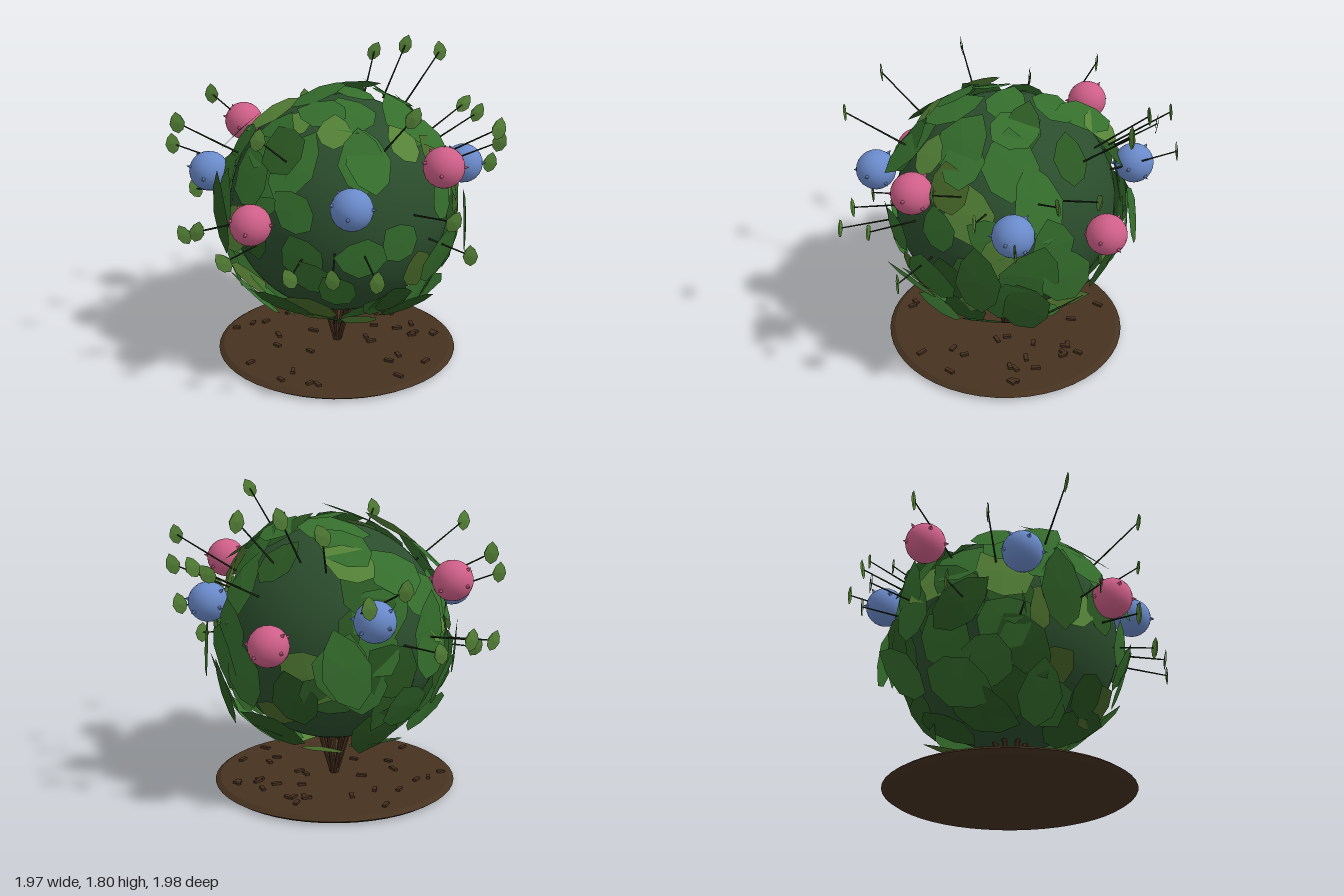
import * as THREE from 'three';

const mat = (name, color, extra = {}) => new THREE.MeshStandardMaterial({ name, color, ...extra });
const leafy = { side: THREE.DoubleSide, flatShading: true };
const M = {
  core: mat('core green', 0x2b4d2d),
  dark: mat('dark leaf', 0x2a5722, leafy),
  mid: mat('mid leaf', 0x356e2d, leafy),
  light: mat('light leaf', 0x568438, leafy),
  olive: mat('olive leaf', 0x486829, leafy),
  stem: mat('stem', 0x1f2d1a),
  pink: mat('pink bloom', 0xcf5f88),
  blue: mat('blue bloom', 0x6a8aca),
  soil: mat('soil', 0x463220),
  bark: mat('bark', 0x452e1e, { flatShading: true }),
};

// small seeded generator
let seed = 11;
const rnd = () => {
  seed = (seed * 16807) % 2147483647;
  return seed / 2147483647;
};
const range = (a, b) => a + (b - a) * rnd();
const V = (x, y, z) => new THREE.Vector3(x, y, z);
const UP = V(0, 1, 0);
const CENTER = V(0.03, 0.95, 0);

function add(parent, name, geometry, material) {
  const mesh = new THREE.Mesh(geometry, material);
  mesh.name = name;
  parent.add(mesh);
  return mesh;
}

// thin rod between two points
function rod(parent, name, a, b, r0, r1, material, sides = 6) {
  const dir = b.clone().sub(a);
  const mesh = add(parent, name, new THREE.CylinderGeometry(r1, r0, dir.length(), sides), material);
  mesh.position.copy(a).addScaledVector(dir, 0.5);
  mesh.quaternion.setFromUnitVectors(UP, dir.normalize());
}

// faceted leaf in the xy plane, pointed at +y, cupped backwards by "bend"
function leafGeometry(length, width, bend) {
  const outline = [[0, -0.5], [0.34, -0.34], [0.5, -0.04], [0.32, 0.28], [0, 0.5],
    [-0.32, 0.28], [-0.5, -0.04], [-0.34, -0.34]];
  const pos = [0, 0, 0];
  for (const [x, y] of outline) {
    pos.push(x * width, y * length, -bend * ((x * width) ** 2 + (y * length) ** 2));
  }
  const index = [];
  for (let i = 0; i < 8; i++) index.push(0, 1 + i, 1 + ((i + 1) % 8));
  const g = new THREE.BufferGeometry();
  g.setAttribute('position', new THREE.Float32BufferAttribute(pos, 3));
  g.setIndex(index);
  g.computeVertexNormals();
  return g;
}

// round bed with a bevelled rim and loose bark chips
function buildBed(root) {
  const bed = new THREE.Group();
  bed.name = 'bed';
  const rim = [[0, 0.005], [0.7, 0.005], [0.73, 0.025], [0.7, 0.045], [0, 0.045]];
  const g = new THREE.LatheGeometry(rim.map(([x, y]) => new THREE.Vector2(x, y)), 48).toNonIndexed();
  g.computeVertexNormals();
  add(bed, 'soilDisc', g, M.soil).position.x = 0.017;
  for (let i = 0; i < 34; i++) {
    const a = rnd() * Math.PI * 2;
    const r = 0.68 * Math.sqrt(range(0.05, 1));
    const chip = add(bed, 'barkChip', new THREE.BoxGeometry(range(0.045, 0.06), 0.018, 0.024), M.bark);
    chip.position.set(0.02 + r * Math.cos(a), 0.05, r * Math.sin(a));
    chip.rotation.y = rnd() * Math.PI;
  }
  root.add(bed);
}

// spreading trunk
function buildTrunk(root) {
  for (let i = 0; i < 7; i++) {
    const a = (i / 7) * Math.PI * 2;
    rod(root, 'trunkStem', V(0.02 + 0.012 * Math.cos(a), 0.04, 0.012 * Math.sin(a)),
      V(0.02 + 0.12 * Math.cos(a), 0.42, 0.12 * Math.sin(a)), 0.013, 0.016, M.bark);
  }
}

// one leaf plate lying on the ball in direction n
function plate(parent, n, length, width, roll, lean, lift, color) {
  const leaf = add(parent, 'leafPlate', leafGeometry(length, width, 0.25), M[color]);
  const pole = Math.abs(n.y) > 0.8 ? V(0, 0, -1) : UP;
  const side = pole.clone().cross(n).normalize();
  leaf.quaternion.setFromRotationMatrix(new THREE.Matrix4().makeBasis(side, n.clone().cross(side), n));
  leaf.rotateZ(roll);
  leaf.rotateX(lean);
  leaf.position.copy(CENTER).addScaledVector(n, lift);
}

// placed plates: two coordinates across the facing side, length, width, roll, colour
const FRONT = [
  [-0.2, 0.48, 0.36, 0.3, 1.3, 'olive'], [0.25, 0.47, 0.36, 0.28, 1.2, 'mid'], [0.42, 0.73, 0.28, 0.22, 0.3, 'olive'],
  [0.55, 0.56, 0.36, 0.26, 0, 'dark'], [0.08, 0.86, 0.32, 0.25, 1.4, 'mid'], [-0.25, 0.85, 0.3, 0.26, 0.4, 'mid'],
  [0.3, 0.93, 0.28, 0.24, 0.8, 'mid'], [0.13, 1.38, 0.44, 0.26, 0, 'mid'], [-0.27, 1.35, 0.44, 0.27, -0.3, 'mid'],
  [0.33, 1.42, 0.26, 0.2, 0.2, 'light'], [-0.43, 1.2, 0.32, 0.24, 0.2, 'mid'], [-0.04, 1.5, 0.22, 0.2, 0, 'light'],
  [0.58, 1.1, 0.28, 0.22, 0.3, 'mid'], [-0.42, 0.4, 0.42, 0.24, 0.8, 'mid'], [-0.28, 1.12, 0.3, 0.22, 0.9, 'mid'],
  [0.62, 0.8, 0.34, 0.24, 0.2, 'dark'], [-0.5, 0.95, 0.32, 0.22, 0.3, 'dark'], [-0.05, 0.66, 0.26, 0.22, 0.6, 'mid'],
];
const RIGHT = [
  [0.25, 1.45, 0.36, 0.26, 0.3, 'mid'], [0.24, 1.22, 0.36, 0.3, 0.2, 'light'], [0.06, 1.0, 0.32, 0.26, 0, 'light'],
  [0.2, 0.8, 0.4, 0.35, 0.5, 'mid'], [0.44, 0.78, 0.42, 0.34, 0, 'mid'], [0.48, 0.5, 0.38, 0.28, 0.6, 'dark'],
  [0.3, 0.62, 0.28, 0.22, 1.3, 'light'], [0, 0.68, 0.4, 0.32, 0.2, 'mid'], [-0.1, 0.86, 0.46, 0.36, -0.3, 'mid'],
  [-0.3, 0.82, 0.42, 0.32, 0.4, 'mid'], [-0.28, 0.48, 0.42, 0.34, 1.0, 'dark'], [-0.15, 1.28, 0.46, 0.28, 0.1, 'mid'],
  [-0.32, 1.43, 0.32, 0.22, -0.4, 'dark'], [0, 1.46, 0.42, 0.32, 0, 'mid'], [-0.54, 0.72, 0.38, 0.28, 0.2, 'dark'],
  [-0.4, 0.6, 0.24, 0.2, 0.9, 'olive'], [0.12, 1.1, 0.3, 0.24, 1.1, 'mid'], [-0.22, 1.05, 0.36, 0.26, 0.2, 'mid'],
];
const TOP = [
  [0.1, -0.27, 0.42, 0.28, 1.3, 'mid'], [0.34, -0.04, 0.32, 0.28, 0.5, 'mid'], [0.1, 0, 0.3, 0.24, 1.2, 'mid'],
  [-0.36, 0.11, 0.36, 0.2, 1.5, 'light'], [0.36, 0.25, 0.38, 0.32, 0.8, 'mid'], [0.05, 0.3, 0.38, 0.32, 0.2, 'mid'],
  [0.52, 0.33, 0.3, 0.25, 0.4, 'olive'], [-0.32, 0.4, 0.38, 0.28, 0.7, 'dark'], [0.1, 0.55, 0.38, 0.28, 0, 'mid'],
  [-0.1, 0.28, 0.32, 0.24, 0.9, 'mid'], [-0.25, 0.27, 0.26, 0.2, 0.2, 'light'],
];
// plates standing off the ball: direction, length, width, roll, lean, lift, colour
const LOOSE = [
  [[0.12, -0.9, 0.35], 0.32, 0.24, 0.4, 0.25, 0.72, 'light'], [[0.2, -0.85, -0.4], 0.42, 0.26, 0.2, 0.2, 0.73, 'olive'],
  [[0.95, -0.1, 0.25], 0.42, 0.26, 0.1, -0.15, 0.76, 'dark'], [[0.9, -0.4, -0.1], 0.4, 0.28, 0.3, -0.2, 0.75, 'dark'],
  [[-0.2, 0.95, 0.1], 0.38, 0.24, 1.4, -0.2, 0.7, 'mid'], [[0.4, 0.85, -0.1], 0.36, 0.22, 1.3, 0.2, 0.7, 'dark'],
  [[-0.95, 0.05, 0.3], 0.5, 0.26, 0.1, 0.1, 0.75, 'dark'], [[-0.65, -0.65, 0.15], 0.42, 0.26, 0.1, 0, 0.75, 'mid'],
  [[-0.75, 0.55, -0.2], 0.4, 0.26, 0.2, -0.2, 0.73, 'mid'], [[0.2, -0.05, -1], 0.46, 0.28, 0.3, -0.2, 0.76, 'mid'],
  [[-0.3, -0.4, -0.85], 0.42, 0.3, 0.5, 0.2, 0.75, 'mid'], [[0.1, 0.8, -0.6], 0.42, 0.26, 0.6, -0.15, 0.73, 'mid'],
  [[0.35, -0.55, 0.8], 0.38, 0.24, 0.4, 0.2, 0.74, 'dark'], [[-0.3, -0.3, 0.9], 0.3, 0.22, 0.4, 0.2, 0.71, 'mid'],
];

// ball of overlapping leaf plates with bare patches
function buildFoliage(root) {
  const foliage = new THREE.Group();
  foliage.name = 'foliage';
  const core = add(foliage, 'core', new THREE.SphereGeometry(1, 40, 28), M.core);
  core.scale.set(0.65, 0.645, 0.65);
  core.position.copy(CENTER);

  const placeAll = (list, toDirection) => {
    for (const [a, b, length, width, roll, color] of list) {
      plate(foliage, toDirection(a, b), length, width, roll, range(-0.2, 0.2), range(0.68, 0.725), color);
    }
  };
  const R = 0.7;
  const facing = (p, q) => Math.sqrt(Math.max(0.04, 1 - p * p - q * q));
  const across = (v, axis) => (v - CENTER[axis]) / R;
  placeAll(FRONT, (x, y) => {
    const [p, q] = [across(x, 'x'), across(y, 'y')];
    return V(p, q, facing(p, q)).normalize();
  });
  placeAll(RIGHT, (z, y) => {
    const [p, q] = [across(z, 'z'), across(y, 'y')];
    return V(facing(p, q), q, p).normalize();
  });
  placeAll(TOP, (x, z) => {
    const [p, q] = [across(x, 'x'), across(z, 'z')];
    return V(p, facing(p, q), q).normalize();
  });
  for (const [d, ...rest] of LOOSE) plate(foliage, V(...d).normalize(), ...rest);

  // scattered plates on the remaining sides, with bare directions left open
  const bare = [[0.5, 0.3, -0.8, 0.9], [0.45, -0.6, -0.65, 0.95], [-0.5, 0.8, -0.3, 0.93], [-0.75, -0.45, 0.5, 0.95],
    [-0.5, -0.55, -0.7, 0.95], [0, -1, 0, 0.85]].map(([x, y, z, c]) => ({ d: V(x, y, z).normalize(), c }));
  const count = 150;
  for (let i = 0; i < count; i++) {
    const h = 1 - (2 * (i + 0.5)) / count;
    const a = i * 2.39996 + range(-0.15, 0.15);
    const s = Math.sqrt(1 - h * h);
    const n = V(s * Math.cos(a), h, s * Math.sin(a));
    if (n.z > 0.62 || n.x > 0.65 || n.y > 0.75 || bare.some(({ d, c }) => d.dot(n) > c)) continue;
    const pick = rnd();
    const color = h > 0.1 ? (pick < 0.7 ? 'mid' : pick < 0.82 ? 'light' : 'dark')
      : (pick < 0.55 ? 'mid' : pick < 0.84 ? 'dark' : pick < 0.92 ? 'olive' : 'light');
    plate(foliage, n, range(0.32, 0.46), range(0.24, 0.34), range(-1.1, 1.1) + (h < -0.3 ? Math.PI : 0),
      range(-0.28, 0.24), range(0.675, 0.745), color);
  }
  root.add(foliage);
}

// eight round blooms, pink and blue in turn, with small petal points
function buildBlooms(root) {
  const points = [[-0.5, 0.6, -0.6], [0.9, 0.1, 0.4], [-0.3, -0.15, 1], [1, -0.45, -0.6], [-0.4, -0.15, -1], [-0.9, 0.3, 0.2]];
  for (let i = 0; i < 8; i++) {
    const a = (i / 8) * Math.PI * 2;
    const isPink = i % 2 === 1;
    const color = isPink ? M.pink : M.blue;
    const y = isPink ? (i % 4 === 1 ? 1.32 : 1.02) : 1.17;
    const bloom = new THREE.Group();
    bloom.name = isPink ? 'pinkBloom' : 'blueBloom';
    add(bloom, 'bloomBall', new THREE.IcosahedronGeometry(0.117, 3), color);
    for (const p of points) {
      const d = V(...p).normalize();
      rod(bloom, 'petalPoint', d.clone().multiplyScalar(0.108), d.clone().multiplyScalar(0.14), 0.016, 0.001, color, 4);
    }
    bloom.position.set(0.02 + 0.755 * Math.cos(a), y, 0.755 * Math.sin(a));
    root.add(bloom);
  }
}

// long thin shoots, each ending in a small upright leaf
function buildShoots(root) {
  const tips = [
    [0.32, 1.7, 0.88], [0.13, 0.84, 0.98], [-0.1, 0.84, 0.92], [-0.32, 0.81, 0.81], [0.57, 1.09, 0.78],
    [-0.47, 1.56, 0.72], [-0.67, 0.85, 0.65], [0.7, 0.83, 0.63], [-0.81, 0.95, 0.42], [-0.9, 1.53, 0.23],
    [-0.9, 0.77, -0.01], [-0.95, 1.28, -0.21], [-0.83, 0.92, -0.42], [-0.71, 1.48, -0.61],
    [-0.51, 1.05, -0.83], [-0.31, 1.0, -0.88], [-0.1, 1.36, -0.9], [0.13, 1.3, -0.98], [0.35, 1.67, -0.88],
    [0.53, 1.74, -0.73], [0.73, 1.72, -0.61], [0.86, 1.42, -0.44], [0.9, 1.42, -0.22], [0.94, 1.17, 0],
    [0.94, 1.36, 0.21], [0.88, 1.5, 0.42],
  ];
  for (const [x, y, z] of tips) {
    const tip = V(x, y, z);
    const shoot = new THREE.Group();
    shoot.name = 'shoot';
    const dir = tip.clone().sub(CENTER).normalize();
    const base = CENTER.clone().addScaledVector(dir, Math.max(0.63, tip.distanceTo(CENTER) - 0.42));
    rod(shoot, 'shootStem', base, tip, 0.006, 0.004, M.stem, 5);
    // two shallow domes back to back
    const leaf = new THREE.Group();
    leaf.name = 'shootLeaf';
    for (const turn of [0, Math.PI]) {
      const half = add(leaf, 'leafHalf', leafGeometry(0.13, 0.085, 2), M.light);
      half.position.z = turn ? -0.008 : 0.008;
      half.rotation.y = turn;
    }
    leaf.position.copy(tip);
    leaf.rotation.set(range(-0.15, 0.15), range(-0.25, 0.25), range(-0.5, 0.5) - x * 0.3);
    shoot.add(leaf);
    root.add(shoot);
  }
}

export function createModel() {
  seed = 11;
  const root = new THREE.Group();
  root.name = 'roundTopiary';
  buildBed(root);
  buildTrunk(root);
  buildFoliage(root);
  buildBlooms(root);
  buildShoots(root);
  return root;
}
